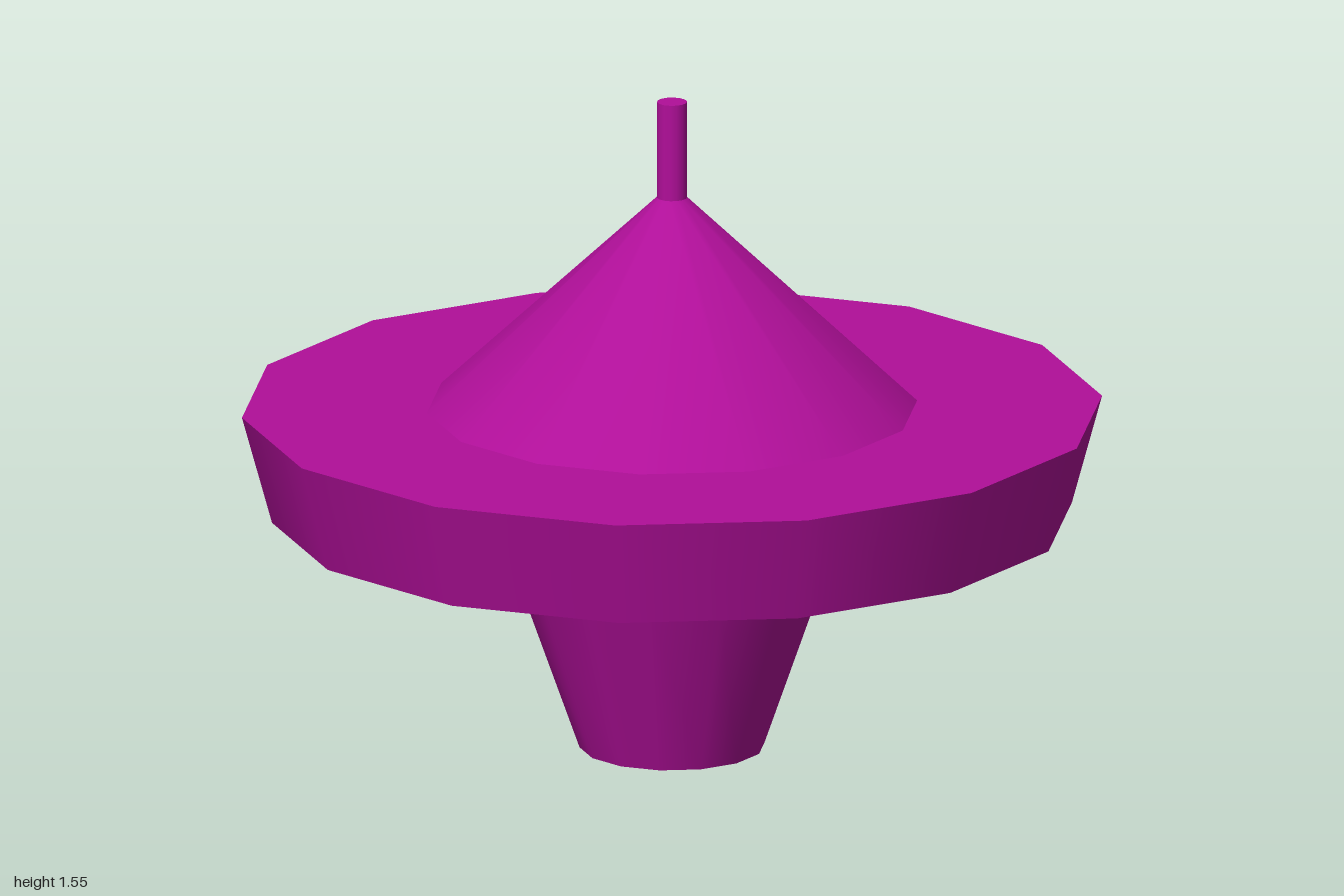
import * as THREE from 'three';

const SIDES = 14;

export function createModel() {
  const model = new THREE.Group();
  model.name = 'spinningTop';
  const material = new THREE.MeshStandardMaterial({ color: 0xb00f99 });

  // Each part is a turned profile of [radius, y] points, bottom to top.
  // Every profile step is its own band, so bands meet at a crisp edge
  // while staying smooth around the axis.
  function turned(name, profile) {
    const part = new THREE.Group();
    part.name = name;
    for (let i = 0; i < profile.length - 1; i++) {
      const points = [profile[i], profile[i + 1]].map(([r, y]) => new THREE.Vector2(r, y));
      // Start a quarter turn round so that corners lie on the x axis
      const band = new THREE.Mesh(new THREE.LatheGeometry(points, SIDES, Math.PI / 2), material);
      band.name = `${name}Band${i + 1}`;
      part.add(band);
    }
    model.add(part);
  }

  // Tapered foot with closed underside
  turned('foot', [[0, 0], [0.215, 0], [0.365, 0.425]]);
  // Wide disc: sloping underside, flared rim, flat top
  turned('disc', [[0.365, 0.425], [0.93, 0.56], [1, 0.815], [0.57, 0.815]]);
  // Upper cone
  turned('cone', [[0.57, 0.815], [0.035, 1.32]]);
  // Thin handle with closed end
  turned('stem', [[0.035, 1.32], [0.035, 1.55], [0, 1.55]]);

  return model;
}
